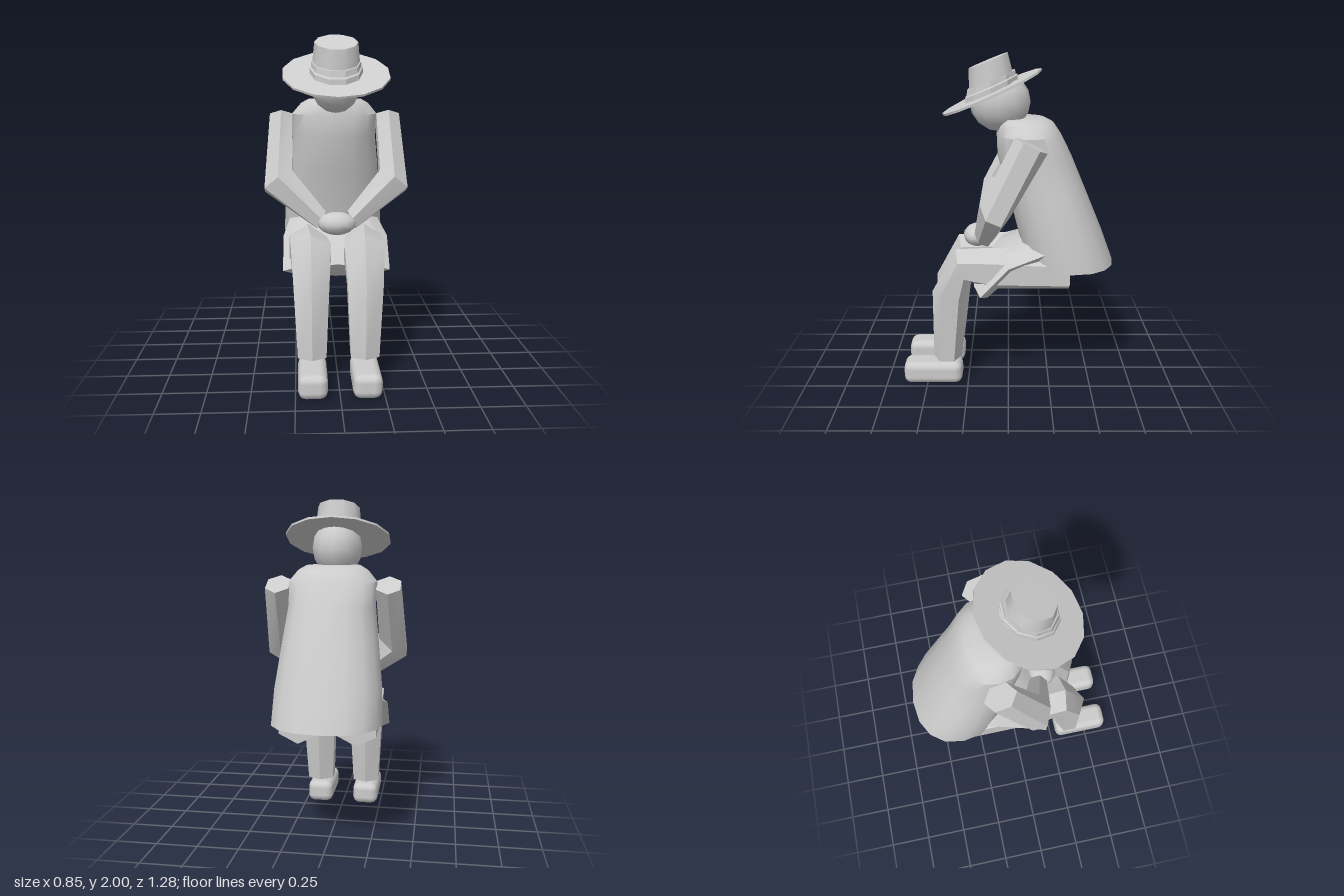
import * as THREE from 'three';
import { toCreasedNormals } from 'three/addons/utils/BufferGeometryUtils.js';
import { RoundedBoxGeometry } from 'three/addons/geometries/RoundedBoxGeometry.js';

const V = (a) => new THREE.Vector3(...a);

// Closed loft: each ring is [centre, half-axis u, half-axis v]
function loft(rings, n, { power = 1, phase = 0, crease = 0.7, mirror = 1 } = {}) {
  const R = rings.map((r) => r.map((a) => V([a[0] * mirror, a[1], a[2]])));
  const along = R[1][0].clone().sub(R[0][0]);
  const flip = R[0][1].clone().cross(R[0][2]).dot(along) < 0 ? -1 : 1;
  const bend = (t) => Math.sign(t) * Math.pow(Math.abs(t), power);
  const pos = [], index = [];
  for (const [c, u, v] of R) {
    for (let j = 0; j < n; j++) {
      const a = (j / n) * Math.PI * 2 + phase;
      const p = c.clone().addScaledVector(u, bend(Math.cos(a))).addScaledVector(v, flip * bend(Math.sin(a)));
      pos.push(p.x, p.y, p.z);
    }
  }
  const first = R.length * n, last = first + 1, top = (R.length - 1) * n;
  for (const c of [R[0][0], R[R.length - 1][0]]) pos.push(c.x, c.y, c.z);
  for (let j = 0; j < n; j++) {
    const k = (j + 1) % n;
    for (let i = 0; i < top; i += n) index.push(i + j, i + k, i + n + k, i + j, i + n + k, i + n + j);
    index.push(first, k, j, last, top + j, top + k);
  }
  const g = new THREE.BufferGeometry();
  g.setAttribute('position', new THREE.Float32BufferAttribute(pos, 3));
  g.setIndex(index);
  return toCreasedNormals(g, crease);
}

export function createModel() {
  const model = new THREE.Group();
  model.name = 'seatedFigure';
  const grey = new THREE.MeshStandardMaterial({ color: 0xcccccc });
  grey.name = 'plain grey';
  const add = (name, geometry, x = 0, y = 0, z = 0) => {
    const mesh = new THREE.Mesh(geometry, grey);
    mesh.name = name;
    mesh.position.set(x, y, z);
    model.add(mesh);
    return mesh;
  };

  // Cloak: horizontal rings [y, centre z, half width, half depth]
  const cloak = [
    [0.75, -0.37, 0.318, 0.27], [0.95, -0.31, 0.31, 0.255], [1.2, -0.225, 0.28, 0.235],
    [1.4, -0.155, 0.255, 0.22], [1.53, -0.12, 0.26, 0.19], [1.595, -0.105, 0.205, 0.16], [1.62, -0.09, 0.16, 0.125],
  ].map(([y, z, rx, rz]) => [[0, y, z], [rx, 0, 0], [0, 0, rz]]);
  add('cloak', loft(cloak, 16, { power: 0.88, crease: 0.6 }));

  // Lap of the coat, bending down in front
  add('coatLap', loft([
    [[0, 0.88, -0.28], [0.27, 0, 0], [0, 0.06, 0.08]],
    [[0, 0.785, 0.0], [0.32, 0, 0], [0, 0.085, 0.05]],
    [[0, 0.61, 0.165], [0.32, 0, 0], [0, 0.05, 0.055]],
  ], 8));

  // Head
  const head = new THREE.SphereGeometry(1, 12, 8);
  head.scale(0.15, 0.175, 0.18);
  add('head', head, 0, 1.715, 0.05);

  // Hat: tilted rings [centre y, centre z, half width, half depth, rise toward the back]
  const tilted = (list) => list.map(([y, z, rx, rz, rise]) => [[0, y, z], [0, rise, -rz], [rx, 0, 0]]);
  add('hatBrim', loft(tilted([
    [1.764, 0.095, 0.318, 0.29, 0.13], [1.776, 0.1, 0.318, 0.29, 0.13],
  ]), 14));
  add('hatBand', loft(tilted([
    [1.775, 0.1, 0.155, 0.16, 0.07], [1.805, 0.1, 0.155, 0.16, 0.07],
    [1.812, 0.1, 0.147, 0.15, 0.065], [1.842, 0.1, 0.145, 0.145, 0.06],
  ]), 10, { phase: Math.PI / 10, crease: 0.4 }));
  add('hatCrown', loft(tilted([
    [1.775, 0.095, 0.145, 0.138, 0.06], [1.95, 0.117, 0.127, 0.118, 0.048],
  ]), 10, { phase: Math.PI / 10 }));

  // Clasped hands
  const hands = new THREE.SphereGeometry(1, 12, 8);
  hands.scale(0.115, 0.068, 0.085);
  add('claspedHands', hands, 0, 0.903, 0.19);

  for (const [side, mirror] of [['left', 1], ['right', -1]]) {
    // Arm: shoulder, elbow, wrist
    add(side + 'Arm', loft([
      [[0.325, 1.51, -0.127], [0, 0.045, 0.09], [0.08, 0, 0]],
      [[0.343, 1.14, 0.075], [0, 0.035, 0.085], [0.095, -0.06, 0.01]],
      [[0.09, 0.915, 0.145], [0, 0.015, 0.06], [0.03, -0.055, 0.01]],
    ], 6, { mirror, crease: 0.5 }));

    // Leg: hip, thigh, knee, shin, ankle
    add(side + 'Leg', loft([
      [[0.17, 0.725, -0.36], [0, 0.115, 0], [0.13, 0, 0]],
      [[0.17, 0.74, 0.1], [0, 0.13, 0], [0.13, 0, 0]],
      [[0.155, 0.755, 0.28], [0, 0.1, 0.035], [0.135, 0, 0]],
      [[0.155, 0.575, 0.35], [0, 0.015, 0.11], [0.118, 0, 0]],
      [[0.153, 0.16, 0.375], [0, 0, 0.086], [0.095, 0, 0]],
    ], 6, { mirror, crease: 0.6 }));

    // Shoe
    add(side + 'Shoe', new RoundedBoxGeometry(0.165, 0.14, 0.36, 2, 0.045), mirror * 0.152, 0.07, 0.465);
  }
  return model;
}
